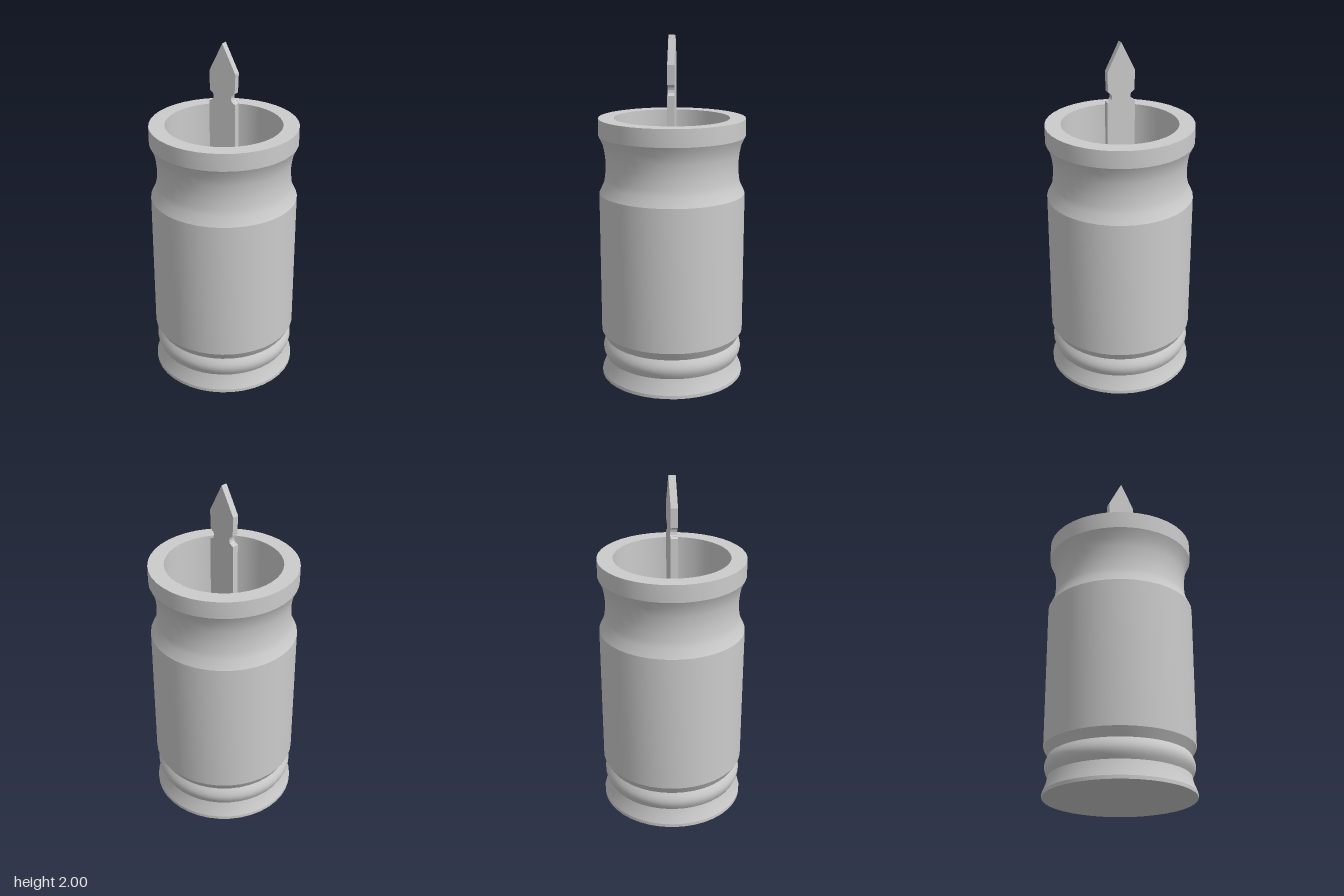
import * as THREE from 'three';
import { toCreasedNormals } from 'three/addons/utils/BufferGeometryUtils.js';

const SIDES = 40;

export function createModel() {
  const model = new THREE.Group();
  const material = new THREE.MeshStandardMaterial({ color: 0xcccccc });

  const add = (name, geometry) => {
    const mesh = new THREE.Mesh(geometry, material);
    mesh.name = name;
    model.add(mesh);
    return mesh;
  };

  // Hollow body: outside from the base up, over the rim, down to the inner floor
  const profile = [[0, 0], [0.42, 0], [0.42, 0.02], [0.402, 0.065], [0.392, 0.11]];
  // rounded bead above the foot
  for (let i = 1; i <= 8; i++) {
    const t = i / 8;
    profile.push([0.392 + 0.02 * Math.sin(Math.PI * t), 0.11 + 0.115 * t]);
  }
  profile.push([0.42, 0.275], [0.42, 1.11], [0.393, 1.165]);
  // concave neck
  profile.push([0.386, 1.2], [0.381, 1.25], [0.381, 1.29], [0.386, 1.34], [0.396, 1.39]);
  // collar, rim and bore
  profile.push([0.42, 1.44], [0.42, 1.54], [0.33, 1.54], [0.33, 0.1], [0, 0.1]);
  const body = new THREE.LatheGeometry(profile.map(([r, y]) => new THREE.Vector2(r, y)), SIDES);
  add('body', toCreasedNormals(body, 0.35));

  // Flat pointed blade standing on the floor, notched on both edges
  const half = [[0.08, 0.1], [0.08, 1.67], [0.065, 1.676]];
  for (let i = 0; i <= 4; i++) {
    const a = Math.PI * (i / 4 - 0.5);
    half.push([0.065 - 0.012 * Math.cos(a), 1.7 + 0.022 * Math.sin(a)]);
  }
  half.push([0.076, 1.73], [0.08, 1.84]);
  const mirrored = half.map(([x, y]) => [-x, y]).reverse();
  const outline = [...half, [0, 2], ...mirrored].map(([x, y]) => new THREE.Vector2(x, y));
  const blade = new THREE.ExtrudeGeometry(new THREE.Shape(outline), { depth: 0.04, bevelEnabled: false });
  blade.translate(0, 0, -0.02);
  add('blade', blade);

  return model;
}
